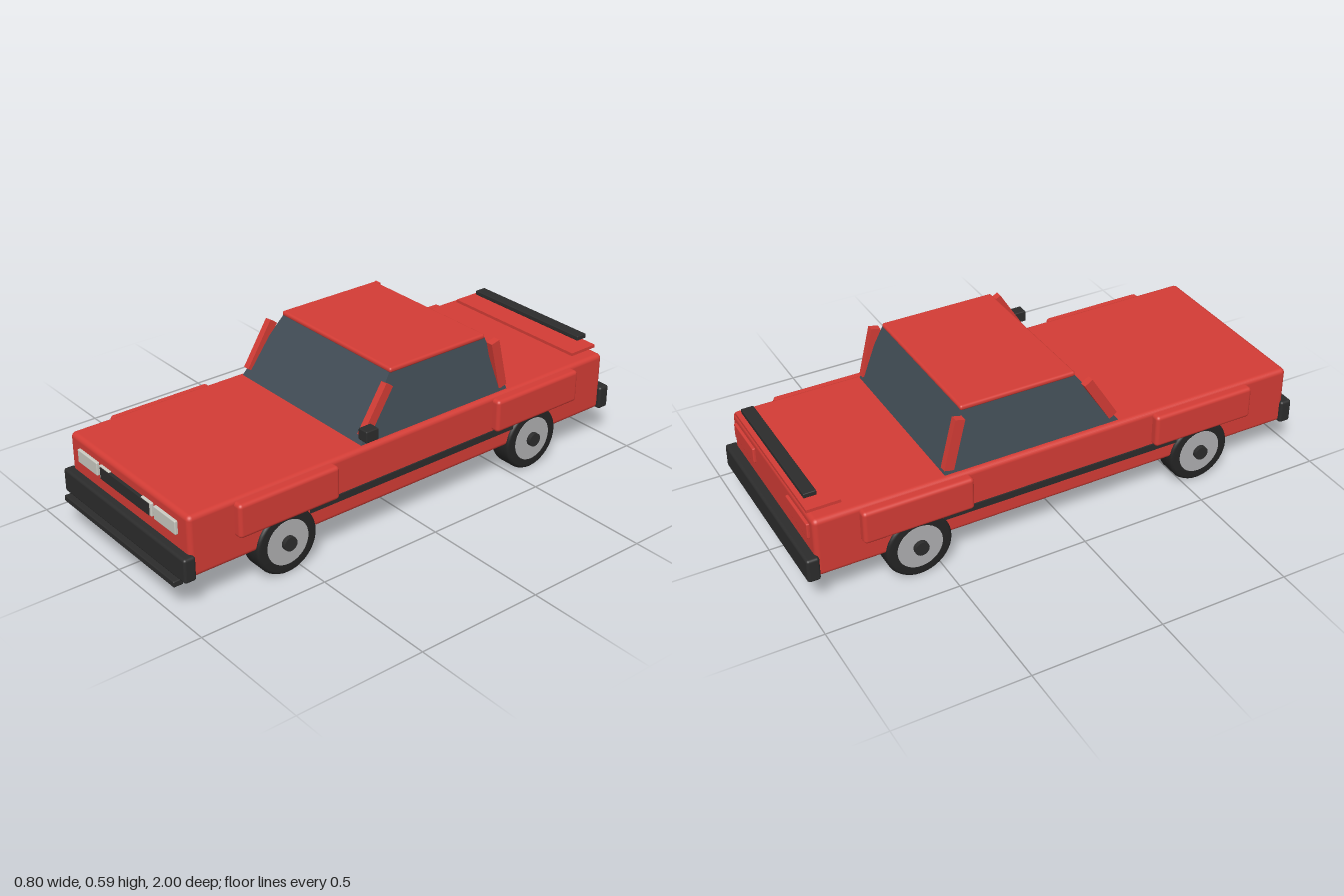
import * as THREE from 'three';
import { RoundedBoxGeometry } from 'three/addons/geometries/RoundedBoxGeometry.js';

const mat = (name, color) => {
  const m = new THREE.MeshStandardMaterial({ color });
  m.name = name;
  return m;
};

export function createModel() {
  const red = mat('red paint', 0xd33c35);
  const trim = mat('black trim', 0x2c2c2c);
  const rubber = mat('tyre rubber', 0x242424);
  const glass = mat('tinted glass', 0x414c55);
  const lamp = mat('lamp lens', 0xc9c9c0);
  const alloy = mat('wheel alloy', 0xaeaeb0);

  const car = new THREE.Group();
  car.name = 'car';

  const add = (name, geometry, material, parent = car) => {
    const mesh = new THREE.Mesh(geometry, material);
    mesh.name = name;
    parent.add(mesh);
    return mesh;
  };

  // Box given by its limits on each axis, with optional rounded edges
  const block = (name, material, [x0, x1], [y0, y1], [z0, z1], r = 0) => {
    const size = [x1 - x0, y1 - y0, z1 - z0];
    const geo = r ? new RoundedBoxGeometry(...size, 3, r) : new THREE.BoxGeometry(...size);
    const mesh = add(name, geo, material);
    mesh.position.set((x0 + x1) / 2, (y0 + y1) / 2, (z0 + z1) / 2);
    return mesh;
  };

  // Main shell and bumpers
  block('body', red, [-0.37, 0.37], [0.13, 0.362], [-0.962, 0.945], 0.018);
  block('frontBumper', trim, [-0.383, 0.383], [0.128, 0.22], [0.93, 0.977], 0.01);
  block('frontLip', trim, [-0.35, 0.35], [0.11, 0.133], [0.962, 1], 0.004);
  block('rearBumper', trim, [-0.383, 0.383], [0.128, 0.22], [-1, -0.952], 0.01);

  // Greenhouse: a box narrowed and slanted towards the roof
  const cabin = new THREE.BoxGeometry(2, 1, 2);
  const p = cabin.attributes.position;
  for (let i = 0; i < p.count; i++) {
    const top = p.getY(i) > 0, front = p.getZ(i) > 0;
    p.setXYZ(i,
      Math.sign(p.getX(i)) * (top ? 0.304 : 0.35),
      top ? 0.582 : 0.358,
      front ? (top ? 0.055 : 0.222) : (top ? -0.388 : -0.473));
  }
  cabin.computeVertexNormals();
  add('cabinGlass', cabin, glass);
  block('roof', red, [-0.311, 0.311], [0.573, 0.593], [-0.388, 0.06], 0.009);

  // Grille, boot plate and rear wing bar
  block('grille', trim, [-0.153, 0.153], [0.274, 0.319], [0.94, 0.958]);
  block('bootPlate', red, [-0.325, 0.325], [0.371, 0.383], [-0.965, -0.84]);
  block('wingBar', trim, [-0.285, 0.285], [0.4, 0.418], [-0.955, -0.908], 0.003);
  block('doorMirror', trim, [0.355, 0.4], [0.397, 0.441], [0.183, 0.237], 0.004);

  // Tyre outline: radius against width, with rounded shoulders
  const tyreProfile = [
    [0.084, -0.047], [0.113, -0.047], [0.121, -0.043], [0.125, -0.034],
    [0.125, 0.034], [0.121, 0.043], [0.113, 0.047], [0.084, 0.047],
  ].map(([r, h]) => new THREE.Vector2(r, h));
  const tyreGeo = new THREE.LatheGeometry(tyreProfile, 40);
  const rimGeo = new THREE.CylinderGeometry(0.086, 0.086, 0.096, 40);
  const hubGeo = new THREE.CylinderGeometry(0.027, 0.027, 0.13, 16);

  for (const s of [-1, 1]) {
    const side = s > 0 ? 'left' : 'right';
    const span = (a, b) => (s > 0 ? [a, b] : [-b, -a]);

    // Flared fenders and sill strip
    block(side + 'FrontFender', red, span(0.33, 0.402), [0.224, 0.353], [0.352, 0.768], 0.014);
    block(side + 'RearFender', red, span(0.33, 0.402), [0.224, 0.353], [-0.798, -0.384], 0.014);
    block(side + 'SillStrip', trim, span(0.36, 0.376), [0.196, 0.222], [-0.49, 0.46]);

    // Lamps
    block(side + 'Headlight', lamp, span(0.178, 0.306), [0.271, 0.323], [0.93, 0.956], 0.004);
    block(side + 'InnerLamp', lamp, span(0.1, 0.164), [0.271, 0.323], [0.93, 0.955], 0.004);
    block(side + 'TailLight', red, span(0.15, 0.335), [0.272, 0.333], [-0.972, -0.95], 0.005);

    // Slanted roof pillars
    const frontPillar = block(side + 'FrontPillar', red, span(0.32, 0.347), [0.37, 0.57], [0.127, 0.163]);
    frontPillar.rotation.x = -0.56;
    const rearPillar = block(side + 'RearPillar', red, span(0.32, 0.347), [0.372, 0.57], [-0.449, -0.411]);
    rearPillar.rotation.x = 0.24;

    // Wheels
    for (const [end, z] of [['Front', 0.562], ['Rear', -0.588]]) {
      const wheel = new THREE.Group();
      wheel.name = side + end + 'Wheel';
      wheel.position.set(s * 0.334, 0.125, z);
      wheel.rotation.z = -s * Math.PI / 2;
      add('tyre', tyreGeo, rubber, wheel);
      add('rim', rimGeo, alloy, wheel);
      add('hub', hubGeo, trim, wheel);
      car.add(wheel);
    }
  }
  return car;
}
